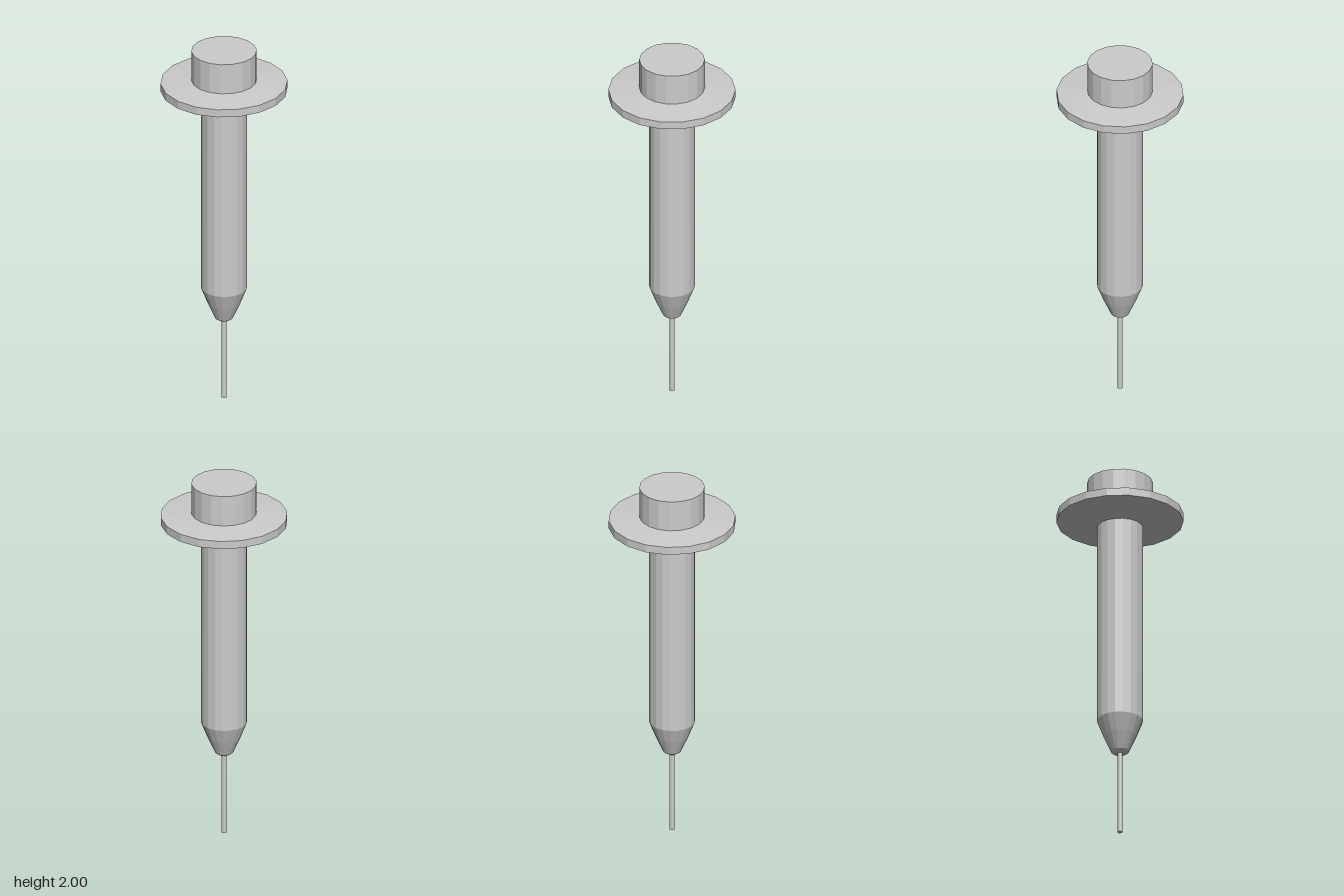
import * as THREE from 'three';

const SIDES = 18;
const material = new THREE.MeshStandardMaterial({ color: 0xcccccc, flatShading: true });

// Faceted turned part from [radius, height] pairs, listed bottom to top
function turned(name, profile, sides = SIDES) {
  const points = profile.map(([r, y]) => new THREE.Vector2(r, y));
  const mesh = new THREE.Mesh(new THREE.LatheGeometry(points, sides, Math.PI / 2), material);
  mesh.name = name;
  return mesh;
}

export function createModel() {
  const group = new THREE.Group();
  group.name = 'plungerTool';
  group.add(
    // Thin pin standing on the ground
    turned('needle', [[0, 0], [0.0135, 0], [0.0135, 0.46], [0, 0.46]], 12),
    // Tapered nose with a small chamfer at its tip
    turned('nose', [[0, 0.45], [0.032, 0.45], [0.047, 0.46], [0.087, 0.55], [0.12, 0.635]]),
    // Long straight barrel
    turned('barrel', [[0.12, 0.635], [0.12, 1.745]]),
    // Disc with a sloping underside and a slightly raised top
    turned('flange', [[0, 1.74], [0.12, 1.74], [0.33, 1.775], [0.33, 1.818], [0.17, 1.832], [0, 1.832]]),
    // Push button on top
    turned('button', [[0.17, 1.83], [0.17, 2], [0, 2]]),
  );
  return group;
}
